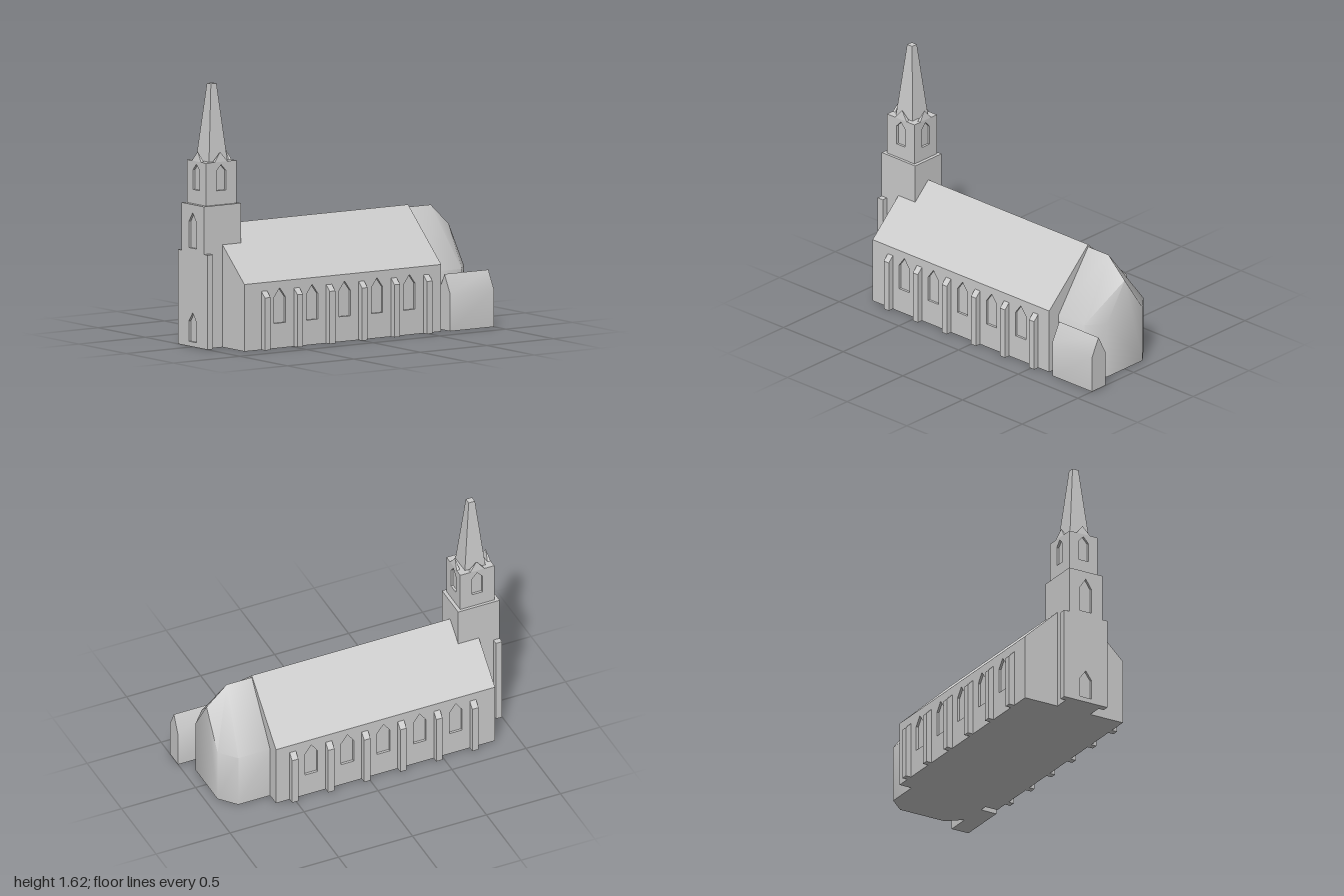
import * as THREE from 'three';
import { toCreasedNormals } from 'three/addons/utils/BufferGeometryUtils.js';

const stone = new THREE.MeshStandardMaterial({ color: 0xcccccc });
stone.name = 'stone';
const RECESS = 0.015;

function add(parent, name, geometry) {
  const mesh = new THREE.Mesh(geometry, stone);
  mesh.name = name;
  parent.add(mesh);
  return mesh;
}

function box(parent, name, x0, x1, y0, y1, z0, z1) {
  const mesh = add(parent, name, new THREE.BoxGeometry(x1 - x0, y1 - y0, z1 - z0));
  mesh.position.set((x0 + x1) / 2, (y0 + y1) / 2, (z0 + z1) / 2);
  return mesh;
}

const outline = (points) => new THREE.Shape(points.map(([a, b]) => new THREE.Vector2(a, b)));

// Prism running along x from a profile of [z, y] points
function prismX(points, x0, x1) {
  const g = new THREE.ExtrudeGeometry(outline(points), { depth: x1 - x0, bevelEnabled: false });
  return g.rotateY(-Math.PI / 2).translate(x1, 0, 0);
}

// Wall slab facing +z, pierced by pointed openings [centre, width, sill, shoulder, peak]
function piercedWall(x0, x1, y0, y1, openings) {
  const shape = outline([[x0, y0], [x1, y0], [x1, y1], [x0, y1]]);
  for (const [c, w, sill, shoulder, peak] of openings) {
    shape.holes.push(outline([
      [c - w / 2, sill], [c - w / 2, shoulder], [c, peak], [c + w / 2, shoulder], [c + w / 2, sill],
    ]));
  }
  return new THREE.ExtrudeGeometry(shape, { depth: RECESS, bevelEnabled: false });
}

// Closed body lofted along x through five-point gabled sections
function gabledLoft(sections) {
  const pos = [], index = [], n = 5;
  for (const { x, ridgeX, half, eave, ridge } of sections) {
    pos.push(x, 0, -half, x, eave, -half, ridgeX, ridge, 0, x, eave, half, x, 0, half);
  }
  for (let s = 0; s < sections.length - 1; s++) {
    for (let i = 0; i < n; i++) {
      const j = (i + 1) % n;
      const a = s * n + i, b = s * n + j, c = b + n, d = a + n;
      index.push(a, b, d, b, c, d);
    }
  }
  const end = (sections.length - 1) * n;
  for (let i = 1; i < n - 1; i++) {
    index.push(0, i + 1, i, end, end + i, end + i + 1);
  }
  const g = new THREE.BufferGeometry();
  g.setAttribute('position', new THREE.Float32BufferAttribute(pos, 3));
  g.setIndex(index);
  return toCreasedNormals(g, 1.0);
}

function createNave() {
  const nave = new THREE.Group();
  nave.name = 'nave';
  const inner = 0.35 - RECESS;
  add(nave, 'naveBody', prismX([
    [-inner, 0], [inner, 0], [inner, 0.415], [0.35, 0.415],
    [0, 0.745], [-0.35, 0.415], [-inner, 0.415],
  ], -0.86, 0.62));

  const windows = [];
  for (let i = 0; i < 5; i++) windows.push([-0.595 + i * 0.244, 0.086, 0.155, 0.315, 0.373]);

  for (const side of [1, -1]) {
    // Side wall with recessed pointed windows
    const wall = add(nave, 'windowWall', piercedWall(-0.86, 0.62, 0, 0.415, windows));
    wall.position.z = side > 0 ? inner : -0.35;

    // Buttresses with sloped caps
    for (let i = 0; i < 6; i++) {
      const x = -0.711 + i * 0.2435;
      const profile = [[0.345, 0], [0.387, 0], [0.387, 0.325], [0.35, 0.362], [0.345, 0.362]];
      const points = profile.map(([z, y]) => [z * side, y]);
      add(nave, 'buttress', prismX(points, x - 0.021, x + 0.021));
    }
  }
  return nave;
}

function createTower() {
  const tower = new THREE.Group();
  tower.name = 'tower';

  // Lower stage with a west door and window
  box(tower, 'lowerStage', -1 + RECESS, -0.72, 0, 0.88, -0.118, 0.118);
  const west = add(tower, 'westWall', piercedWall(-0.118, 0.118, 0, 0.88, [
    [0, 0.08, 0.03, 0.155, 0.21],
    [0, 0.08, 0.61, 0.77, 0.83],
  ]));
  west.rotation.y = -Math.PI / 2;
  west.position.x = -1 + RECESS;
  for (const side of [1, -1]) {
    const z = [0.115 * side, 0.155 * side].sort((a, b) => a - b);
    box(tower, 'cornerButtress', -1, -0.957, 0, 0.585, z[0], z[1]);
  }

  // Belfry: a core wrapped by four pierced walls, a small gable over each
  const belfry = new THREE.Group();
  belfry.name = 'belfry';
  belfry.position.x = -0.857;
  tower.add(belfry);
  const hx = 0.115, hz = 0.1;
  box(belfry, 'belfryCore', -hx + RECESS, hx - RECESS, 0.88, 1.145, -hz + RECESS, hz - RECESS);
  const opening = [0, 0.07, 0.968, 1.09, 1.128];
  for (let i = 0; i < 4; i++) {
    const face = new THREE.Group();
    face.name = 'belfryFace';
    face.rotation.y = i * Math.PI / 2;
    belfry.add(face);
    const half = i % 2 ? hz - RECESS : hx;
    const reach = i % 2 ? hx : hz;
    const wall = add(face, 'belfryWall', piercedWall(-half, half, 0.88, 1.145, [opening]));
    wall.position.z = reach - RECESS;

    const gable = new THREE.CylinderGeometry(0, Math.SQRT1_2, 0.06, 4).rotateY(Math.PI / 4);
    gable.scale(0.096, 1, 0.022);
    add(face, 'gable', toCreasedNormals(gable, 0.3)).position.set(0, 1.175, reach - 0.011);
  }

  // Tapered square spire
  const spire = new THREE.CylinderGeometry(0.021 * Math.SQRT2, 0.069 * Math.SQRT2, 0.475, 4);
  spire.rotateY(Math.PI / 4);
  add(belfry, 'spire', toCreasedNormals(spire, 0.3)).position.y = 1.3825;
  return tower;
}

export function createModel() {
  const church = new THREE.Group();
  church.name = 'church';
  church.add(createNave(), createTower());

  // Apse narrowing to a canted end
  add(church, 'apse', gabledLoft([
    { x: 0.61, ridgeX: 0.61, half: 0.265, eave: 0.36, ridge: 0.73 },
    { x: 0.835, ridgeX: 0.79, half: 0.265, eave: 0.36, ridge: 0.73 },
    { x: 0.926, ridgeX: 0.926, half: 0.16, eave: 0.36, ridge: 0.6 },
  ]));

  // Small gabled annex beside the apse
  const annex = add(church, 'annex', gabledLoft([
    { x: 0.67, ridgeX: 0.67, half: 0.06, eave: 0.23, ridge: 0.347 },
    { x: 1, ridgeX: 1, half: 0.06, eave: 0.23, ridge: 0.347 },
  ]));
  annex.position.z = 0.314;
  return church;
}
